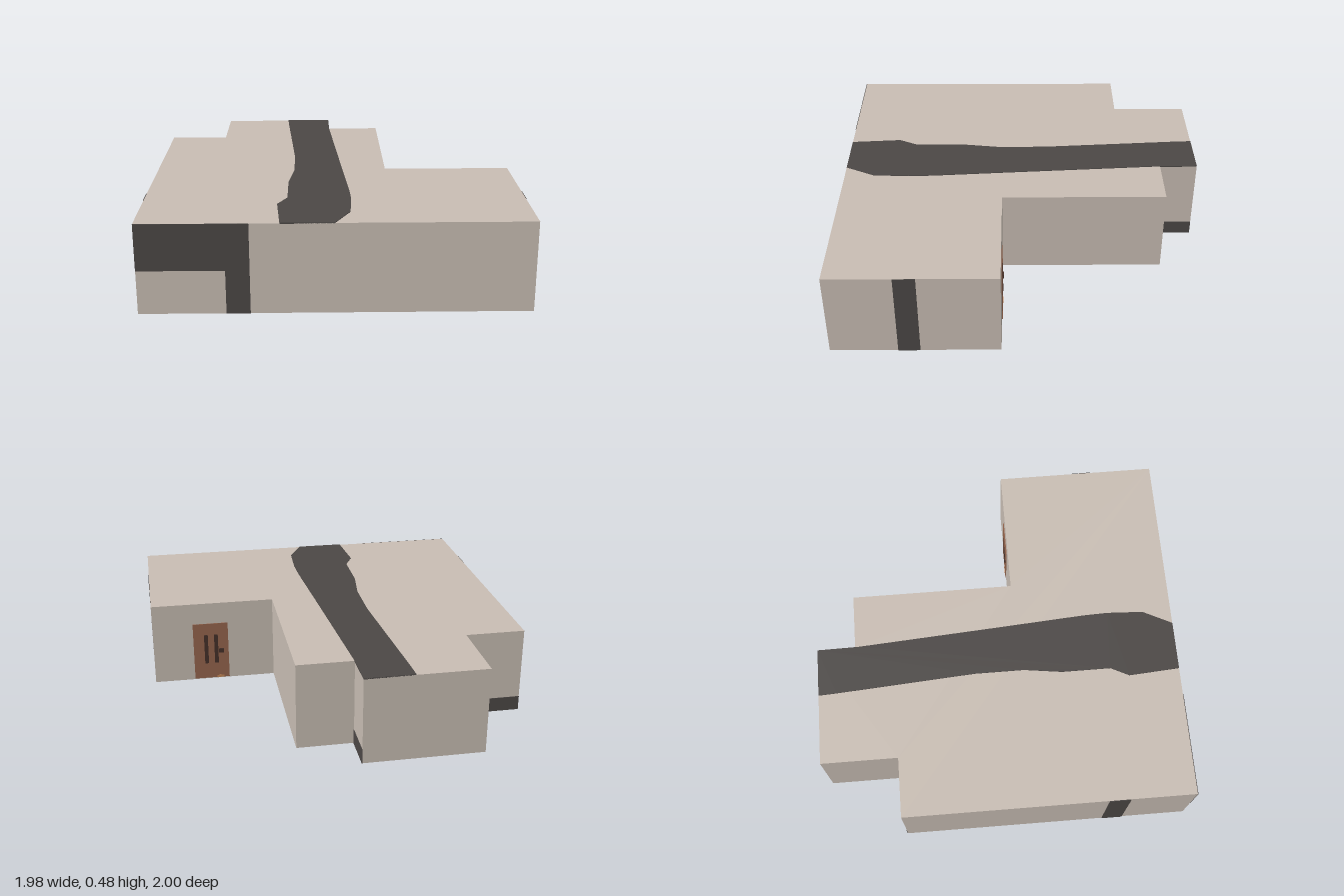
import * as THREE from 'three';

const mat = (name, color) => Object.assign(new THREE.MeshStandardMaterial({ color }), { name });

export function createModel() {
  const group = new THREE.Group();
  const plaster = mat('plaster', 0xc9beb4);
  const charcoal = mat('charcoal', 0x4c4846);
  const wood = mat('door wood', 0x96664e);
  const darkWood = mat('dark wood', 0x46312a);
  const brass = mat('brass', 0xc88a58);
  const H = 0.475, T = 0.003;

  const add = (name, geometry, material) => {
    const mesh = new THREE.Mesh(geometry, material);
    mesh.name = name;
    group.add(mesh);
    return mesh;
  };
  const outline = (pts) => new THREE.Shape(pts.map(([x, y]) => new THREE.Vector2(x, y)));
  const extrude = (pts, depth) => new THREE.ExtrudeGeometry(outline(pts), { depth, bevelEnabled: false });
  // Floor-plan outline (x, z) raised between two heights
  const slab = (pts, y0, y1) => extrude(pts, y1 - y0).rotateX(Math.PI / 2).translate(0, y1, 0);
  // Box given by its extents
  const box = (name, material, x0, x1, y0, y1, z0, z1) =>
    add(name, new THREE.BoxGeometry(x1 - x0, y1 - y0, z1 - z0), material)
      .position.set((x0 + x1) / 2, (y0 + y1) / 2, (z0 + z1) / 2);

  // Stepped building block
  add('building', slab([
    [-0.99, -0.58], [-0.665, -0.58], [-0.665, -1], [-0.015, -1], [-0.015, -0.79],
    [0.29, -0.79], [0.29, 0.11], [0.985, 0.11], [0.985, 1], [-0.99, 1],
  ], 0, H), plaster);

  // Winding band across the roof
  add('roofBand', slab([
    [-0.28, -1], [-0.275, -0.9], [-0.222, -0.13], [-0.222, 0.14], [-0.25, 0.35], [-0.25, 0.62],
    [-0.3, 0.72], [-0.28, 1], [-0.01, 1], [0.07, 0.84], [0.08, 0.64], [0.075, 0.5],
    [0.04, 0], [-0.012, -0.77], [-0.015, -1],
  ], H - T, H + T), charcoal);

  // L-shaped patch on the front wall
  add('frontPatch', extrude([
    [-0.99, 0.23], [-0.55, 0.23], [-0.55, 0], [-0.43, 0], [-0.43, H], [-0.99, H],
  ], T).translate(0, 0, 1), charcoal);

  // Upright stripes on both side walls
  box('leftStripe', charcoal, 0.985, 0.985 + T, 0, H, 0.53, 0.645);
  box('rightStripe', charcoal, -0.99 - T, -0.99, 0, H, 0.53, 0.645);

  // Skirting in the two rear notches
  box('notchSkirtingLeft', charcoal, -0.015, -0.015 + T, 0, 0.08, -1, -0.79);
  box('notchSkirtingRight', charcoal, -0.99, -0.665, 0, 0.08, -0.58 - T, -0.58);

  // Door in the rear recess, with two tall panels and a handle
  box('door', wood, 0.553, 0.755, 0.005, 0.35, 0.106, 0.11);
  for (const x of [0.682, 0.624]) box('doorPanel', darkWood, x - 0.011, x + 0.011, 0.1, 0.28, 0.104, 0.107);
  box('doorHandle', darkWood, 0.58, 0.61, 0.165, 0.19, 0.1, 0.107);
  box('doorSill', brass, 0.585, 0.625, 0.005, 0.018, 0.104, 0.107);

  return group;
}
